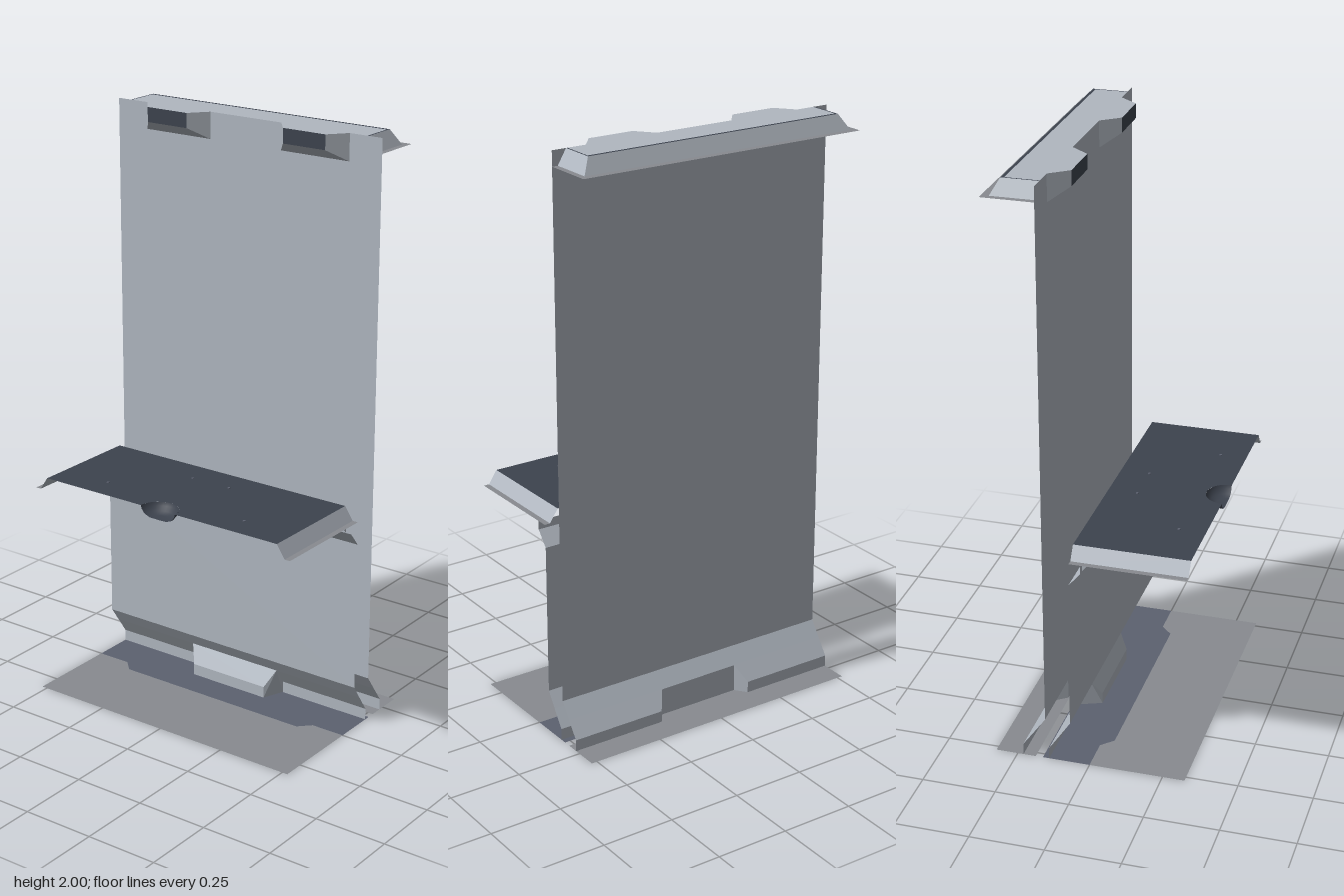
import * as THREE from 'three';

const mat = (name, color) => {
  const m = new THREE.MeshStandardMaterial({ color, side: THREE.DoubleSide });
  m.name = name;
  return m;
};

// Flat-shaded mesh from a list of convex polygons
function sheet(name, material, polys) {
  const pos = [];
  for (const p of polys)
    for (let i = 1; i < p.length - 1; i++) pos.push(...p[0], ...p[i], ...p[i + 1]);
  const g = new THREE.BufferGeometry();
  g.setAttribute('position', new THREE.Float32BufferAttribute(pos, 3));
  g.computeVertexNormals();
  const mesh = new THREE.Mesh(g, material);
  mesh.name = name;
  return mesh;
}

// Strips that sweep an [x, y] profile from z0 to z1
function sweep(profile, z0, z1) {
  const out = [];
  for (let i = 0; i < profile.length - 1; i++) {
    const [a, b] = [profile[i], profile[i + 1]];
    out.push([[...a, z0], [...b, z0], [...b, z1], [...a, z1]]);
  }
  return out;
}

// Horizontal polygon from [x, z] points
const level = (y, pts) => pts.map(([x, z]) => [x, y, z]);
const rect = (y, x0, x1, z0, z1) => level(y, [[x0, z0], [x0, z1], [x1, z1], [x1, z0]]);

// Slanted lip along both z ends of a slab
function endLips(x0, x1Top, x1Low, yTop, yLow) {
  return [1, -1].map(s => [
    [x0, yTop, s * 0.47], [x1Top, yTop, s * 0.47], [x1Low, yLow, s * 0.5], [x0, yLow, s * 0.5]]);
}

export function createModel() {
  const light = mat('light metal', 0xb0b7c0);
  const dark = mat('dark panel', 0x3d434e);
  const grey = mat('floor grey', 0x888b90);
  const slate = mat('slate floor', 0x5c6170);
  const group = new THREE.Group();
  const Z = 0.52, IN = 0.15, OUT = 0.18;

  // Tall wall with two notches at its top edge
  const X = 0.152;
  const wall = [...sweep([[X, 0.15], [X, 1.91]], -Z, Z)];
  for (const [a, b] of [[-Z, -0.4], [-0.14, 0.14], [0.4, Z]])
    wall.push(...sweep([[X, 1.91], [X, 2]], a, b));
  group.add(sheet('tallWall', light, wall));

  // Flared foot of the tall wall with a central recess
  const foot = [...sweep([[X, 0.15], [0.19, 0.096]], -Z, Z)];
  foot.push(...sweep([[0.19, 0.096], [0.19, 0]], -IN, IN));
  for (const s of [1, -1]) {
    foot.push(...sweep([[0.19, 0.096], [0.23, 0.04], [0.23, 0]], s * OUT, s * Z));
    foot.push([[0.19, 0.096, s * IN], [0.19, 0.096, s * OUT], [0.23, 0.04, s * OUT]]);
    foot.push([[0.19, 0, s * IN], [0.19, 0.096, s * IN], [0.23, 0.04, s * OUT], [0.23, 0, s * OUT]]);
  }
  group.add(sheet('tallWallFoot', light, foot));

  // Low wall under the platform, tucked in at its foot, with a central bump
  const low = [...sweep([[0.025, 0.75], [0.025, 0.72], [0.066, 0.67], [0.066, 0.15], [0.1, 0.099]], -Z, Z)];
  low.push([[0.1, 0.099, -OUT], [0.1, 0.099, OUT], [0.066, 0.04, IN], [0.066, 0.04, -IN]]);
  low.push(...sweep([[0.066, 0.04], [0.066, 0]], -IN, IN));
  for (const s of [1, -1]) {
    low.push(...sweep([[0.1, 0.099], [0.14, 0.04], [0.14, 0]], s * OUT, s * Z));
    low.push([[0.1, 0.099, s * OUT], [0.066, 0.04, s * IN], [0.066, 0, s * IN],
      [0.14, 0, s * OUT], [0.14, 0.04, s * OUT]]);
    low.push([[0, 0.75, s * 0.5], [0.025, 0.75, s * 0.5], [0.025, 0.72, s * 0.5]]);
  }
  group.add(sheet('lowWall', light, low));

  // Floor strips, with a slate band beside the low wall
  group.add(sheet('floor', grey, [
    rect(0, 0.187, 0.325, -Z, Z),
    level(0, [[-0.325, -Z], [-0.325, Z], [-0.04, Z], [-0.04, -Z]]),
    ...[1, -1].map(s => level(0, [[-0.04, s * 0.36], [-0.04, s * Z], [0.0, s * Z], [0.0, s * 0.4]])),
  ]));
  group.add(sheet('floorBand', slate, [
    rect(0, 0, 0.162, -Z, Z),
    level(0, [[0, -0.4], [0, 0.4], [-0.04, 0.36], [-0.04, -0.36]]),
  ]));

  // Ceiling slab with two lobes that poke through the wall notches
  const cap = [rect(2, X, 0.263, -0.465, 0.465)];
  const lobes = [], lobeFronts = [];
  for (const s of [1, -1]) {
    const [a, b, c, d] = [0.14, 0.19, 0.35, 0.4].map(v => v * s);
    cap.push(level(2, [[X, a], [0.09, b], [0.09, c], [X, d]]));
    lobes.push([[X, 1.91, a], [X, 1.91, d], [0.09, 1.95, c], [0.09, 1.95, b]]);
    for (const [p, q] of [[a, b], [d, c]])
      lobes.push([[X, 2, p], [X, 1.91, p], [0.09, 1.95, q], [0.09, 2, q]]);
    lobeFronts.push(...sweep([[0.09, 1.95], [0.09, 2]], b, c));
  }
  group.add(sheet('ceilingPanel', light, cap));
  group.add(sheet('ceilingLobes', light, lobes));
  group.add(sheet('ceilingLobeFronts', dark, lobeFronts));
  group.add(sheet('ceilingLip', light, [
    ...endLips(X, 0.273, 0.3, 2, 1.95),
    [[0.273, 2, -0.47], [0.273, 2, 0.47], [0.3, 1.95, 0.5], [0.3, 1.95, -0.5]],
  ]));
  group.add(sheet('ceilingTrim', dark, [
    rect(2, 0.263, 0.273, -0.47, 0.47),
    rect(2, X, 0.263, 0.465, 0.47), rect(2, X, 0.263, -0.47, -0.465),
  ]));
  group.add(sheet('ceilingFlange', grey, [
    rect(1.95, 0.3, 0.325, -Z, Z),
    rect(1.95, X, 0.3, 0.5, Z), rect(1.95, X, 0.3, -Z, -0.5),
  ]));

  // Platform top with a half-round bite in its outer edge
  const R = 0.07, top = new THREE.Shape();
  top.moveTo(-0.325, -0.47);
  top.lineTo(0.063, -0.47);
  top.lineTo(0.063, 0.47);
  top.lineTo(-0.325, 0.47);
  top.lineTo(-0.325, R);
  top.absarc(-0.325, 0, R, Math.PI / 2, -Math.PI / 2, true);
  const topMesh = new THREE.Mesh(new THREE.ShapeGeometry(top, 16).rotateX(-Math.PI / 2), dark);
  topMesh.position.y = 0.795;
  topMesh.name = 'platformTop';
  group.add(topMesh);

  // Shallow half bowl in the bite
  const bowlProfile = [[0, -0.035], [0.035, -0.034], [0.055, -0.026], [0.066, -0.012], [R, 0]]
    .map(([x, y]) => new THREE.Vector2(x, y));
  const bowl = new THREE.Mesh(new THREE.LatheGeometry(bowlProfile, 16, 0, Math.PI), dark);
  bowl.position.set(-0.325, 0.795, 0);
  bowl.name = 'platformBowl';
  group.add(bowl);

  // Platform lips and flanges at both ends
  group.add(sheet('platformLips', light, endLips(-0.325, 0.063, 0.063, 0.795, 0.75)));
  group.add(sheet('platformFlanges', grey, [
    rect(0.75, -0.325, 0.063, 0.5, Z), rect(0.75, -0.325, 0.063, -Z, -0.5)]));

  // Small studs on the platform
  for (const s of [1, -1])
    for (const [x, z] of [[-0.235, 0.28], [-0.037, 0.075]]) {
      const stud = new THREE.Mesh(new THREE.CylinderGeometry(0.005, 0.005, 0.003, 8), slate);
      stud.position.set(x, 0.796, z * s);
      stud.name = 'platformStud';
      group.add(stud);
    }
  return group;
}
